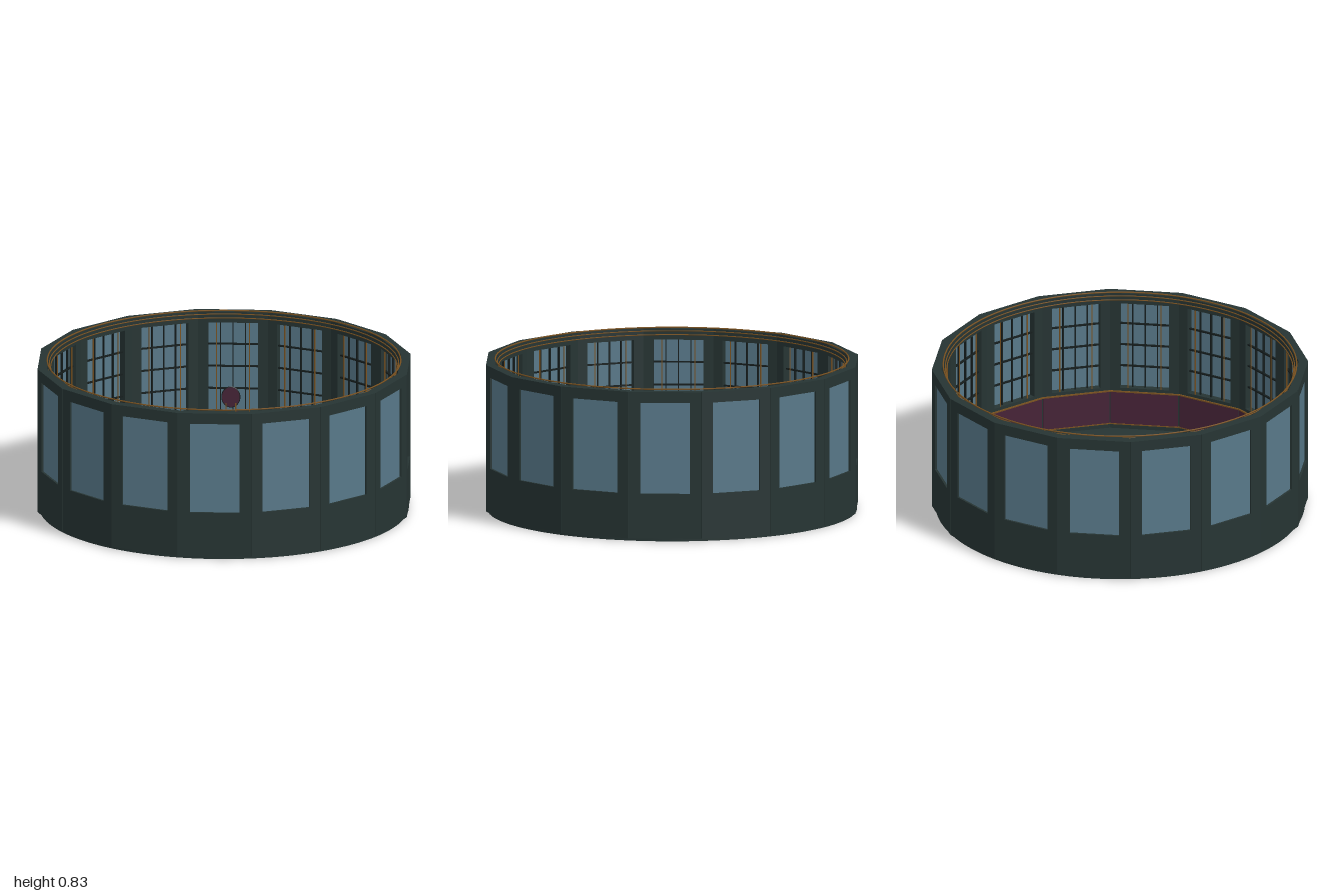
import * as THREE from 'three';

const mat = (name, color, side = THREE.FrontSide) => {
  const m = new THREE.MeshStandardMaterial({ color, side });
  m.name = name;
  return m;
};

export function createModel() {
  const green = mat('dark green', 0x263433);
  const dark = mat('blackened trim', 0x151d1d);
  const glass = mat('blue glass', 0x587889, THREE.DoubleSide);
  const plum = mat('plum', 0x462337);
  const gold = mat('old gold', 0x7a5220);
  const model = new THREE.Group();
  model.name = 'roundRoom';

  const add = (parent, name, geo, material, x = 0, y = 0, z = 0) => {
    const m = new THREE.Mesh(geo, material);
    m.name = name;
    m.position.set(x, y, z);
    parent.add(m);
    return m;
  };
  const box = (parent, name, material, w, h, d, x, y, z) =>
    add(parent, name, new THREE.BoxGeometry(w, h, d), material, x, y, z);
  const hoop = (name, r, y, tube = 0.003) => {
    const t = add(model, name, new THREE.TorusGeometry(r, tube, 6, 96), gold, 0, y, 0);
    t.rotation.x = Math.PI / 2;
  };

  // Floor disc and three shallow round steps
  add(model, 'floor', new THREE.CylinderGeometry(1, 1, 0.02, 96), green, 0, 0.01, 0);
  [[0.72, 0.05], [0.64, 0.08], [0.57, 0.11]].forEach(([r, top]) => {
    add(model, 'step', new THREE.CylinderGeometry(r, r, 0.03, 96), green, 0, top - 0.015, 0);
    hoop('stepEdging', r, top);
  });

  // Carpet ring and gold floor inlays
  const carpet = add(model, 'carpetRing', new THREE.RingGeometry(0.355, 0.52, 96), plum, 0, 0.113, 0);
  carpet.rotation.x = -Math.PI / 2;
  [0.115, 0.24, 0.355, 0.52].forEach((r) => hoop('floorInlay', r, 0.111));

  // One wall panel with its window opening
  const panel = new THREE.Shape();
  panel.moveTo(-0.1975, 0.015);
  panel.lineTo(0.1975, 0.015);
  panel.lineTo(0.1975, 0.82);
  panel.lineTo(-0.1975, 0.82);
  const opening = new THREE.Path();
  opening.moveTo(-0.135, 0.26);
  opening.lineTo(-0.135, 0.76);
  opening.lineTo(0.135, 0.76);
  opening.lineTo(0.135, 0.26);
  panel.holes.push(opening);
  const panelGeo = new THREE.ExtrudeGeometry(panel, { depth: 0.05, bevelEnabled: false });

  // Sixteen identical sides
  for (let i = 0; i < 16; i++) {
    const side = new THREE.Group();
    side.name = 'wallSide';
    side.rotation.y = (i * Math.PI) / 8;
    model.add(side);
    add(side, 'wallPanel', panelGeo, green, 0, 0, 0.95);
    add(side, 'windowPane', new THREE.PlaneGeometry(0.27, 0.5), glass, 0, 0.51, 0.988);
    // Glazing bars on the inner face
    for (let k = -1; k <= 1; k++) {
      box(side, 'uprightBar', dark, 0.006, 0.5, 0.012, k * 0.0675, 0.51, 0.972);
      box(side, 'crossBar', dark, 0.27, 0.008, 0.012, 0, 0.51 + k * 0.125, 0.972);
    }
    for (const s of [-1, 1]) {
      box(side, 'goldRod', gold, 0.005, 0.5, 0.005, s * 0.09, 0.51, 0.955);
    }
    // Wainscot with rails
    box(side, 'wainscot', plum, 0.368, 0.185, 0.008, 0, 0.143, 0.948);
    box(side, 'wainscotRail', gold, 0.376, 0.007, 0.01, 0, 0.239, 0.947);
    box(side, 'skirtingRail', gold, 0.376, 0.006, 0.01, 0, 0.048, 0.947);
  }

  // Gold cornice hoops around the rim
  hoop('rimHoop', 0.956, 0.827, 0.004);
  hoop('corniceHoop', 0.945, 0.81);
  hoop('corniceHoop', 0.938, 0.79);

  // Plinth
  box(model, 'plinth', green, 0.27, 0.215, 0.16, 0, 0.1275, -0.68);

  // Chair with oval back
  const chair = new THREE.Group();
  chair.name = 'chair';
  chair.position.set(0, 0.235, -0.69);
  model.add(chair);
  box(chair, 'seatFrame', gold, 0.104, 0.008, 0.09, 0, 0.07, 0);
  box(chair, 'seat', plum, 0.1, 0.016, 0.086, 0, 0.082, 0);
  for (const x of [-0.045, 0.045]) {
    for (const z of [-0.038, 0.038]) {
      add(chair, 'chairLeg', new THREE.CylinderGeometry(0.004, 0.003, 0.068, 8), gold, x, 0.034, z);
    }
    box(chair, 'backPost', gold, 0.006, 0.05, 0.006, x * 0.6, 0.112, -0.042);
  }
  const back = add(chair, 'chairBack', new THREE.CylinderGeometry(0.048, 0.048, 0.01, 32), plum, 0, 0.17, -0.045);
  back.rotation.x = Math.PI / 2;
  back.scale.z = 1.15;
  const frame = add(chair, 'backFrame', new THREE.TorusGeometry(0.048, 0.004, 8, 32), dark, 0, 0.17, -0.045);
  frame.scale.y = 1.15;

  return model;
}
